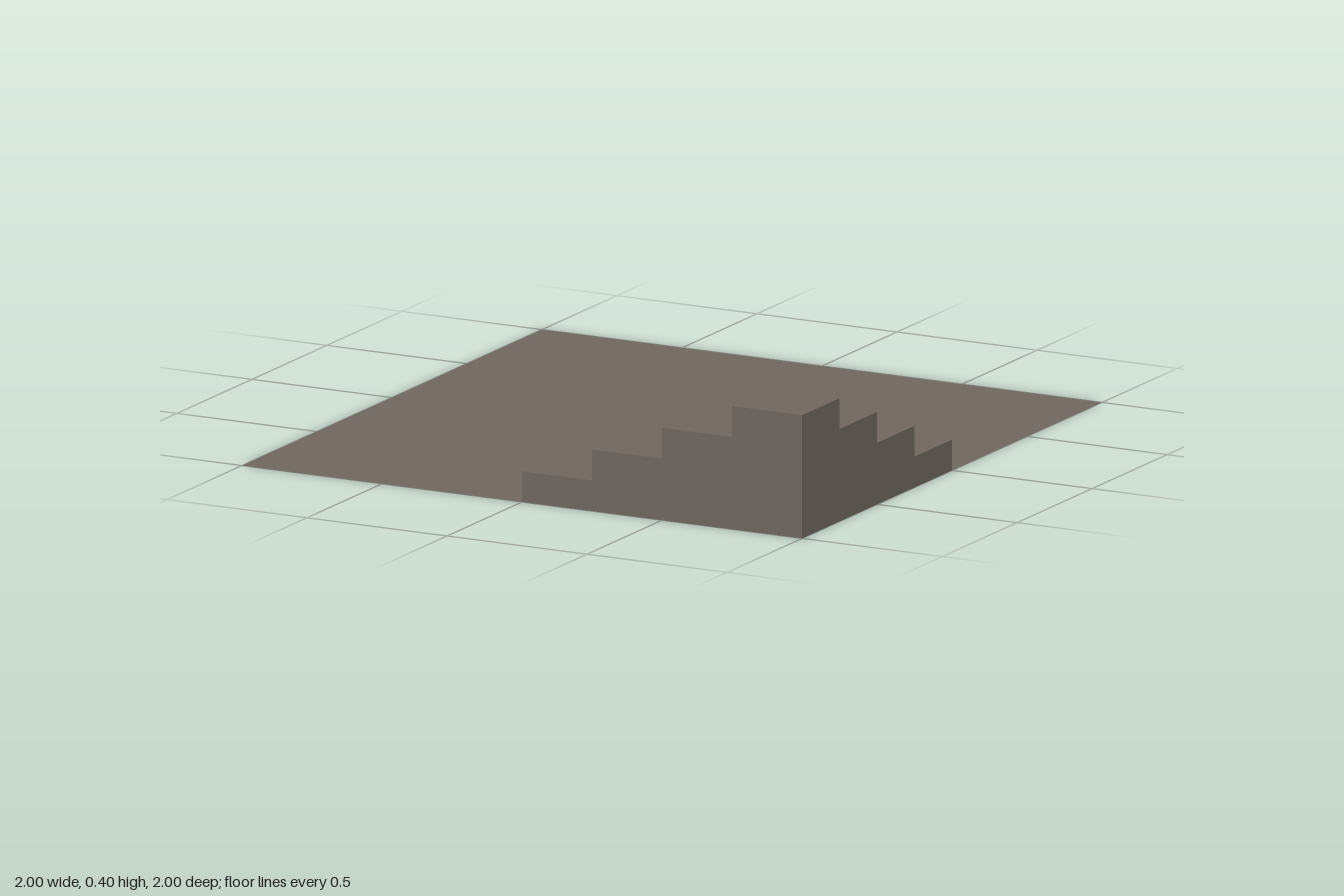
import * as THREE from 'three';

const STEP_HEIGHT = 0.1;
// Inner corner of each level along x and z: ground sheet, then four steps.
const CORNERS = [-1, 0, 0.25, 0.5, 0.75];

const polygon = (points) =>
  new THREE.ShapeGeometry(new THREE.Shape(points.map(([x, y]) => new THREE.Vector2(x, y))));

export function createModel() {
  const group = new THREE.Group();
  const stone = new THREE.MeshStandardMaterial({ color: 0x6f665f, side: THREE.DoubleSide });

  const add = (name, geometry, x, y, z) => {
    const mesh = new THREE.Mesh(geometry, stone);
    mesh.name = name;
    mesh.position.set(x, y, z);
    group.add(mesh);
  };

  // Level surface: square from a to 1, with the next level's footprint cut from its corner.
  const level = (a, b) => {
    const outline = b === undefined
      ? [[a, -1], [1, -1], [1, -a], [a, -a]]
      : [[a, -1], [b, -1], [b, -b], [1, -b], [1, -a], [a, -a]];
    return polygon(outline).rotateX(-Math.PI / 2);
  };

  CORNERS.forEach((a, i) => {
    add(i === 0 ? 'groundSheet' : 'tread' + i, level(a, CORNERS[i + 1]), 0, i * STEP_HEIGHT, 0);
    if (i === 0) return;

    // Two risers meet at the inner corner of each step.
    const length = 1 - a;
    const middle = (1 + a) / 2;
    const y = (i - 0.5) * STEP_HEIGHT;
    add('sideRiser' + i, new THREE.PlaneGeometry(length, STEP_HEIGHT).rotateY(-Math.PI / 2), a, y, middle);
    add('backRiser' + i, new THREE.PlaneGeometry(length, STEP_HEIGHT).rotateY(Math.PI), middle, y, a);
  });

  // Stepped end walls; the underside stays open.
  const profile = (sign) => {
    const points = [[sign, 0]];
    CORNERS.slice(1).forEach((a, i) => {
      points.push([sign * a, i * STEP_HEIGHT], [sign * a, (i + 1) * STEP_HEIGHT]);
    });
    points.push([sign, 4 * STEP_HEIGHT]);
    return polygon(points);
  };
  add('frontWall', profile(1), 0, 0, 1);
  add('sideWall', profile(-1).rotateY(Math.PI / 2), 1, 0, 0);

  return group;
}
